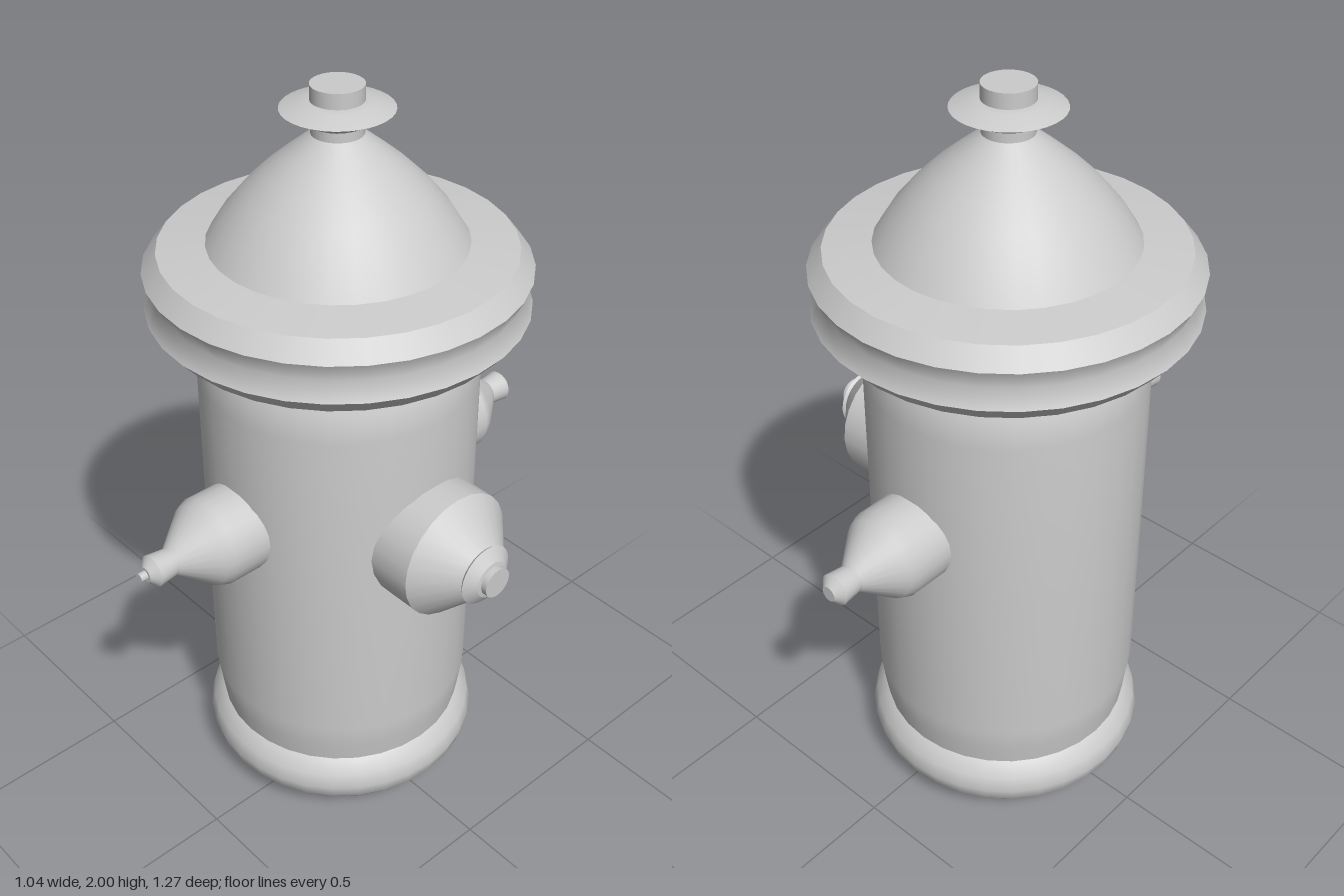
import * as THREE from 'three';

const material = new THREE.MeshStandardMaterial({ color: 0xcccccc, side: THREE.DoubleSide });

// Turned part: each band is a run of [radius, height] points, smooth inside and sharp where bands meet
function turned(name, bands, sides = 32) {
  const group = new THREE.Group();
  group.name = name;
  bands.forEach((band, i) => {
    const points = band.map(([r, h]) => new THREE.Vector2(r, h));
    const mesh = new THREE.Mesh(new THREE.LatheGeometry(points, sides), material);
    mesh.name = `${name}Band${i + 1}`;
    group.add(mesh);
  });
  return group;
}

export function createModel() {
  const model = new THREE.Group();
  model.name = 'fireHydrant';
  const hydrant = new THREE.Group();
  hydrant.name = 'hydrant';
  hydrant.position.set(-0.05, 0, -0.01);
  model.add(hydrant);

  // Rounded foot with a shallow domed underside
  hydrant.add(turned('foot', [
    [[0, 0], [0.235, 0.005], [0.34, 0.05], [0.368, 0.085], [0.378, 0.125], [0.368, 0.165], [0.345, 0.192], [0.336, 0.2]],
  ]));

  // Barrel, drawn in at both ends
  hydrant.add(turned('barrel', [
    [[0.336, 0.2], [0.345, 0.26], [0.353, 0.33], [0.354, 0.8], [0.353, 1.27], [0.335, 1.34], [0.31, 1.41]],
  ]));

  // Double-lipped rim
  hydrant.add(turned('rim', [
    [[0.3, 1.405], [0.43, 1.42]],
    [[0.43, 1.42], [0.467, 1.463]],
    [[0.467, 1.463], [0.445, 1.51], [0.467, 1.56]],
    [[0.467, 1.56], [0.43, 1.607]],
    [[0.43, 1.607], [0.313, 1.62]],
  ]));

  // Domed bonnet
  hydrant.add(turned('bonnet', [
    [[0.313, 1.62], [0.272, 1.685], [0.22, 1.747], [0.172, 1.794], [0.125, 1.834], [0.062, 1.885]],
  ]));

  // Operating nut with its collar
  hydrant.add(turned('topNut', [
    [[0.062, 1.88], [0.062, 1.908]],
    [[0.062, 1.908], [0.133, 1.944]],
    [[0.133, 1.944], [0.085, 1.961], [0.063, 1.963]],
    [[0.063, 1.963], [0.063, 2]],
    [[0.063, 2], [0, 2]],
  ]));

  // Large outlet on the left
  const outlet = turned('largeOutlet', [
    [[0.17, 0.25], [0.17, 0.428]],
    [[0.17, 0.428], [0.075, 0.523]],
    [[0.075, 0.523], [0.081, 0.53]],
    [[0.081, 0.53], [0.05, 0.553]],
    [[0.05, 0.553], [0.04, 0.555]],
    [[0.04, 0.555], [0.04, 0.571]],
    [[0.04, 0.571], [0, 0.571]],
  ], 24);
  outlet.rotation.z = -Math.PI / 2;
  outlet.position.y = 0.915;
  hydrant.add(outlet);

  // Small outlets front and back; only the front one has a pin
  for (const side of [1, -1]) {
    const bands = [
      [[0.118, 0.25], [0.118, 0.435], [0.108, 0.46], [0.036, 0.55]],
      [[0.036, 0.55], [0.042, 0.603]],
      [[0.042, 0.603], [0.02, 0.623]],
      [[0.02, 0.623], [0, 0.623]],
    ];
    if (side > 0) bands.push([[0.012, 0.615], [0.012, 0.642]], [[0.012, 0.642], [0, 0.642]]);
    const small = turned(side > 0 ? 'frontOutlet' : 'backOutlet', bands, 24);
    small.rotation.x = side * Math.PI / 2;
    small.position.y = 0.935;
    hydrant.add(small);
  }

  return model;
}
